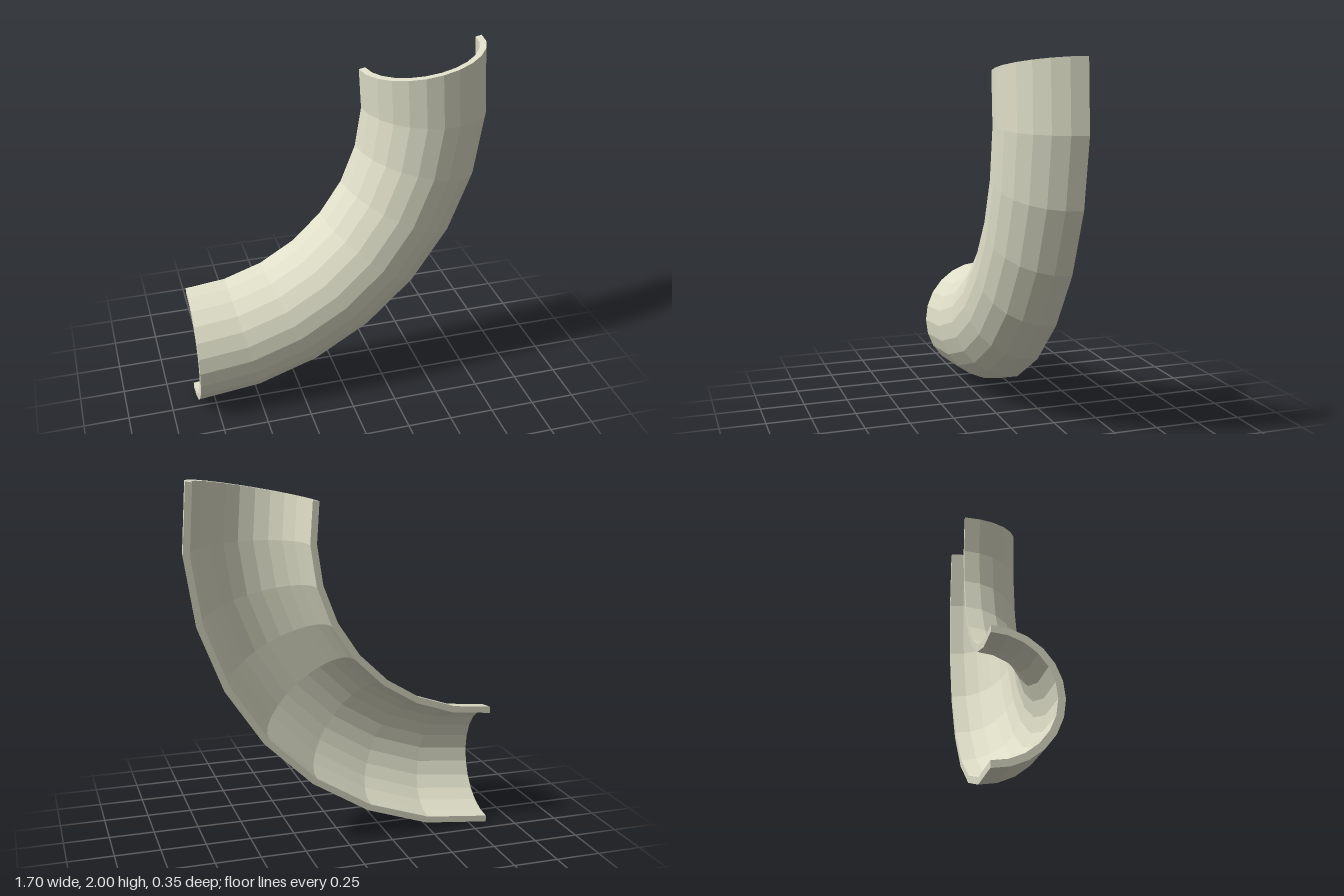
import * as THREE from 'three';

const SWEEP = THREE.MathUtils.degToRad(100); // bend angle
const RINGS = 8;             // segments along the bend
const SIDES = 12;            // segments around the half pipe
const BEND = 1.357;          // bend radius at the pipe axis
const OUTER = 0.347, INNER = 0.311;
const CENTRE_X = -0.851, CENTRE_Y = BEND + OUTER, BACK_Z = -0.1735;

// Closed C-shaped wall section: outer arc one way, inner arc back.
function wallSection() {
  const arc = (r) => Array.from({ length: SIDES + 1 }, (_, k) => {
    const t = (k / SIDES) * Math.PI;
    return [BEND + r * Math.cos(t), BACK_Z + r * Math.sin(t)];
  });
  return [...arc(OUTER), ...arc(INNER).reverse()];
}

function halfPipeElbow() {
  const section = wallSection();
  const n = section.length;
  const positions = [], index = [];
  const quad = (a, b, c, d) => index.push(a, b, c, a, c, d);

  // Section rings turned around the bend centre
  for (let i = 0; i <= RINGS; i++) {
    const a = (i / RINGS) * SWEEP;
    for (const [rho, z] of section) {
      positions.push(CENTRE_X + rho * Math.sin(a), CENTRE_Y - rho * Math.cos(a), z);
    }
  }
  // Outer skin, inner skin and the two long cut edges
  for (let i = 0; i < RINGS; i++) {
    for (let j = 0; j < n; j++) {
      const k = (j + 1) % n;
      quad(i * n + j, (i + 1) * n + j, (i + 1) * n + k, i * n + k);
    }
  }
  // End rims
  const last = RINGS * n;
  for (let k = 0; k < SIDES; k++) {
    const m = n - 1 - k; // inner point facing outer point k
    quad(k, k + 1, m - 1, m);
    quad(last + m, last + m - 1, last + k + 1, last + k);
  }

  const indexed = new THREE.BufferGeometry();
  indexed.setAttribute('position', new THREE.Float32BufferAttribute(positions, 3));
  indexed.setIndex(index);
  const geometry = indexed.toNonIndexed();
  geometry.computeVertexNormals();
  return geometry;
}

export function createModel() {
  const group = new THREE.Group();
  group.name = 'halfPipeBend';
  const material = new THREE.MeshStandardMaterial({ color: 0xdedec8, flatShading: true });
  const elbow = new THREE.Mesh(halfPipeElbow(), material);
  elbow.name = 'curvedHalfPipe';
  group.add(elbow);
  return group;
}
